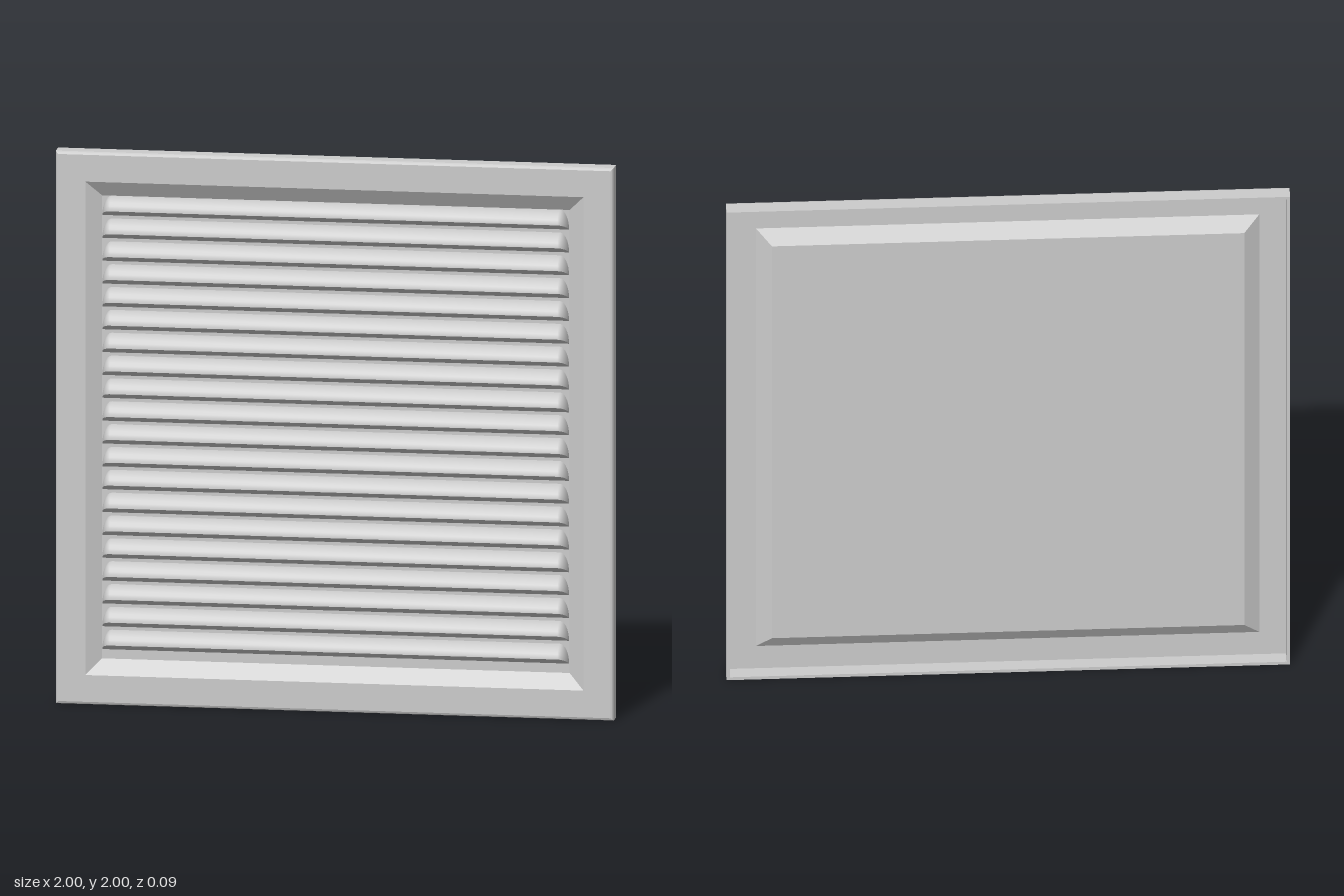
import * as THREE from 'three';

const COUNT = 20, PITCH = 0.0827, TOP_Y = 1.767;
const PAN_Z = -0.015;

// Build a geometry from a list of [a, b, c, d] quads, one flat normal per face
function flatQuads(quads) {
  const pos = [];
  for (const [a, b, c, d] of quads) pos.push(...a, ...b, ...c, ...a, ...c, ...d);
  const g = new THREE.BufferGeometry();
  g.setAttribute('position', new THREE.Float32BufferAttribute(pos, 3));
  g.computeVertexNormals();
  return g;
}

// Pressed sheet: nested square rings [half size, z] from pan centre, over the rim, to the back
function panelGeometry() {
  const rings = [
    [0, PAN_Z], [0.838, PAN_Z], [0.893, 0.02], [0.99, 0.02], [0.997, 0.017], [1, 0.01],
    [1, -0.045], [0.988, -0.045], [0.988, 0.008], [0.893, 0.008], [0.838, -0.027], [0, -0.027],
  ];
  const corners = [[1, 1], [-1, 1], [-1, -1], [1, -1]];
  const at = ([h, z], k) => [corners[k % 4][0] * h, 1 + corners[k % 4][1] * h, z];
  const quads = [];
  for (let r = 0; r < rings.length - 1; r++) {
    for (let k = 0; k < 4; k++) {
      quads.push([at(rings[r], k), at(rings[r + 1], k), at(rings[r + 1], k + 1), at(rings[r], k + 1)]);
    }
  }
  return flatQuads(quads);
}

// Sweep a [z, y] profile along x, shrinking it to rounded ends
function louvreGeometry(profile) {
  const stations = [], steps = 7, flat = 0.803, end = 0.033;
  for (let i = 0; i <= steps; i++) {
    const a = (i / steps) * Math.PI / 2;
    stations.push([flat + end * Math.sin(a), Math.max(Math.cos(a), 0.01)]);
  }
  const all = [...stations.map(([x, s]) => [-x, s]).reverse(), ...stations];
  const pos = [], index = [], n = profile.length;
  all.forEach(([x, s], i) => {
    profile.forEach(([z, y], j) => {
      pos.push(x, y * s, PAN_Z + z * s);
      if (i < all.length - 1 && j < n - 1) {
        const a = i * n + j, b = a + 1, c = b + n, d = a + n;
        index.push(a, b, c, a, c, d);
      }
    });
  });
  const g = new THREE.BufferGeometry();
  g.setAttribute('position', new THREE.Float32BufferAttribute(pos, 3));
  g.setIndex(index);
  g.computeVertexNormals();
  return g;
}

export function createModel() {
  const group = new THREE.Group();
  const material = new THREE.MeshStandardMaterial({ color: 0xcccccc, side: THREE.DoubleSide });

  const panel = new THREE.Mesh(panelGeometry(), material);
  panel.name = 'framePanel';
  group.add(panel);

  // Louvre cross-section: rounded hood on top, sharp lip, sloping underside
  const hood = [[0, 0.071], [0.02, 0.069], [0.035, 0.064], [0.047, 0.055], [0.055, 0.044], [0.059, 0.034], [0.06, 0.026]];
  const underside = [[0.06, 0.026], [0, 0]];
  const hoodGeometry = louvreGeometry(hood);
  const undersideGeometry = louvreGeometry(underside);

  const louvres = new THREE.Group();
  louvres.name = 'louvres';
  for (let i = 0; i < COUNT; i++) {
    const louvre = new THREE.Group();
    louvre.name = `louvre${i + 1}`;
    const top = new THREE.Mesh(hoodGeometry, material);
    top.name = 'louvreHood';
    const bottom = new THREE.Mesh(undersideGeometry, material);
    bottom.name = 'louvreUnderside';
    louvre.add(top, bottom);
    louvre.position.y = TOP_Y - i * PITCH;
    louvres.add(louvre);
  }
  group.add(louvres);
  return group;
}
